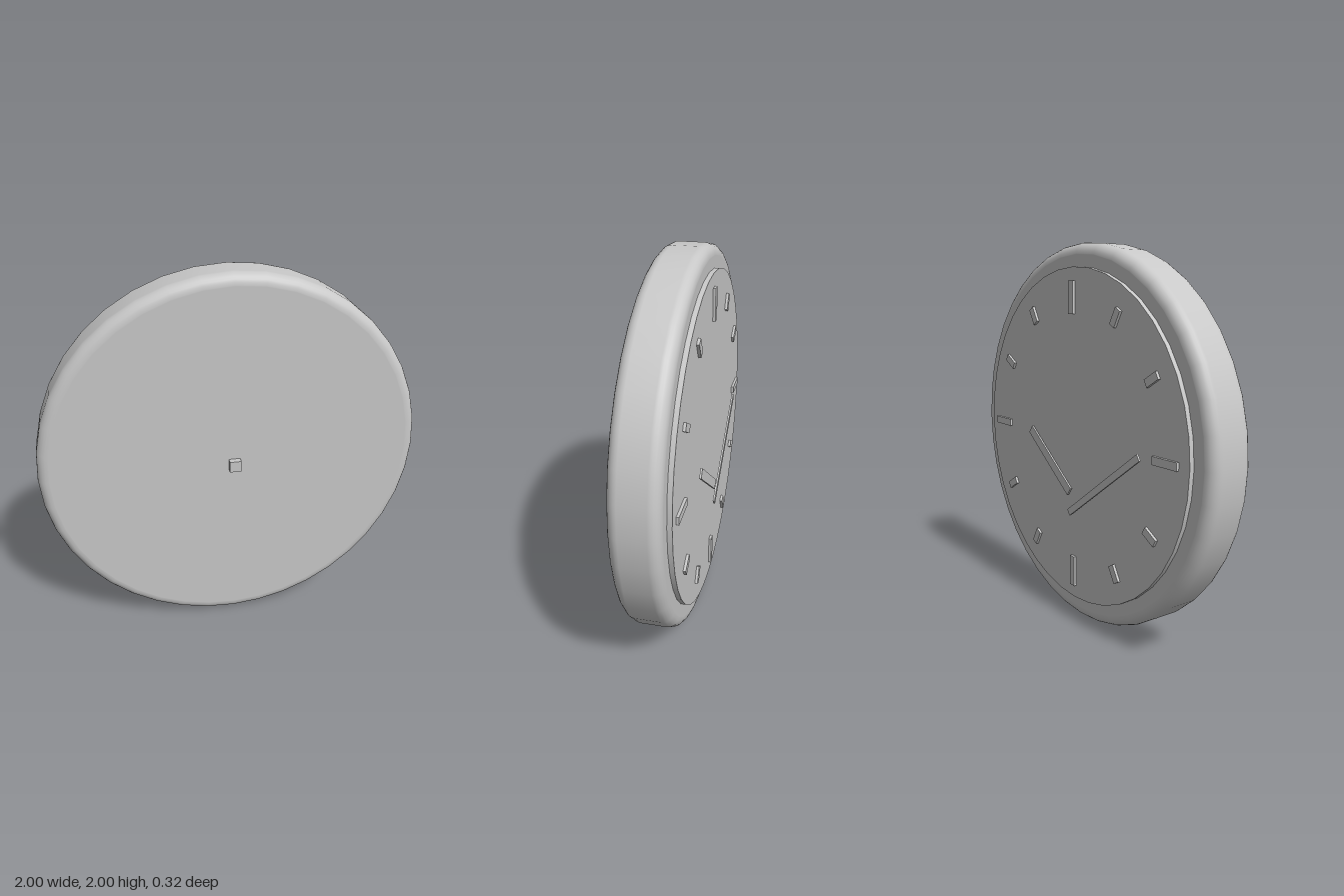
import * as THREE from 'three';

const grey = new THREE.MeshStandardMaterial({ color: 0xc8c8c8 });
grey.name = 'plain grey';

export function createModel() {
  const model = new THREE.Group();
  model.name = 'wallClock';

  const add = (name, geometry, parent = model) => {
    const mesh = new THREE.Mesh(geometry, grey);
    mesh.name = name;
    parent.add(mesh);
    return mesh;
  };

  // Rounded case: a lathed disc whose axis is turned to z
  const back = -0.11, front = 0.13, bevel = 0.055, steps = 6;
  const profile = [new THREE.Vector2(0, back), new THREE.Vector2(1 - bevel - 0.004, back)];
  for (const [zc, start] of [[back + bevel, -Math.PI / 2], [front - bevel, 0]]) {
    for (let i = 0; i <= steps; i++) {
      const a = start + (i / steps) * Math.PI / 2;
      profile.push(new THREE.Vector2(1 - bevel + bevel * Math.cos(a), zc + bevel * Math.sin(a)));
    }
  }
  profile.push(new THREE.Vector2(1 - bevel - 0.004, front), new THREE.Vector2(0, front));
  add('case', new THREE.LatheGeometry(profile, 40).rotateX(Math.PI / 2)).position.y = 1;

  // Dial plate on the -z side
  const dial = add('dial', new THREE.CylinderGeometry(0.88, 0.88, 0.035, 40).rotateX(Math.PI / 2));
  dial.position.set(0, 1, -0.1165);

  // Hour markers, longer at the quarters
  const markers = new THREE.Group();
  markers.name = 'hourMarkers';
  markers.position.set(0, 1, -0.139);
  model.add(markers);
  for (let h = 0; h < 12; h++) {
    const quarter = h % 3 === 0;
    const angle = h * Math.PI / 6;
    const radius = quarter ? 0.728 : 0.73;
    const marker = add('hourMarker', new THREE.BoxGeometry(0.04, quarter ? 0.165 : 0.09, 0.018), markers);
    marker.position.set(Math.sin(angle) * radius, Math.cos(angle) * radius, 0);
    marker.rotation.z = -angle;
  }

  // Hands: thin bars between two points
  const addHand = (name, x1, y1, x2, y2, width) => {
    const length = Math.hypot(x2 - x1, y2 - y1);
    const hand = add(name, new THREE.BoxGeometry(length, width, 0.01));
    hand.position.set((x1 + x2) / 2, (y1 + y2) / 2, -0.157);
    hand.rotation.z = Math.atan2(y2 - y1, x2 - x1);
  };
  addHand('hourHand', 0.005, 0.714, 0.388, 1.0, 0.052);
  addHand('minuteHand', 0.01, 0.6, -0.565, 1.0, 0.036);

  // Small square peg on the +z side
  add('peg', new THREE.BoxGeometry(0.06, 0.06, 0.045)).position.set(0, 1, 0.14);

  return model;
}
